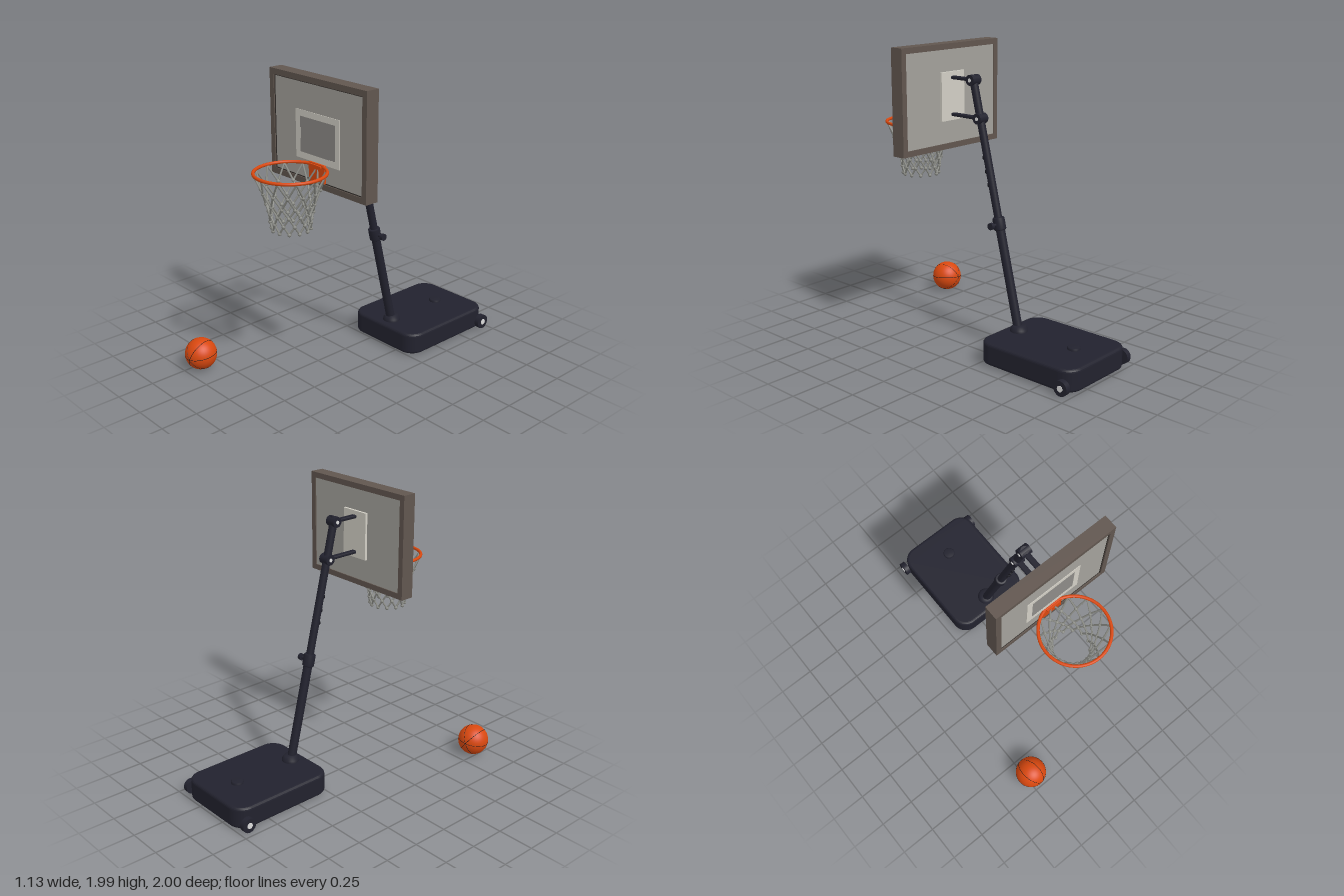
import * as THREE from 'three';
import { RoundedBoxGeometry } from 'three/addons/geometries/RoundedBoxGeometry.js';

const CX = 0.115; // centre line of the stand
const V = (x, y, z) => new THREE.Vector3(x, y, z);

function mat(name, color) {
  const m = new THREE.MeshStandardMaterial({ color });
  m.name = name;
  return m;
}

function roundedRect(w, h, r) {
  const s = new THREE.Shape();
  const x = w / 2, y = h / 2;
  s.absarc(x - r, y - r, r, 0, Math.PI / 2);
  s.absarc(-x + r, y - r, r, Math.PI / 2, Math.PI);
  s.absarc(-x + r, -y + r, r, Math.PI, Math.PI * 1.5);
  s.absarc(x - r, -y + r, r, Math.PI * 1.5, Math.PI * 2);
  return s;
}

// Rectangular border, extruded towards +z
function border(w, h, t, depth) {
  const rect = (C, a, b) => new C([[-a, -b], [a, -b], [a, b], [-a, b]].map(p => new THREE.Vector2(...p)));
  const s = rect(THREE.Shape, w / 2, h / 2);
  s.holes.push(rect(THREE.Path, w / 2 - t, h / 2 - t));
  return new THREE.ExtrudeGeometry(s, { depth, bevelEnabled: false });
}

export function createModel() {
  const root = new THREE.Group();
  root.name = 'basketballSet';
  const navy = mat('navy metal', 0x22222e);
  const black = mat('black', 0x14141a);
  const brown = mat('frame brown', 0x61564f);
  const trimMat = mat('dark trim', 0x332e2b);
  const grey = mat('panel grey', 0xa3a19b);
  const midGrey = mat('target grey', 0x8d8b87);
  const cream = mat('target cream', 0xd2cfc5);
  const orange = mat('orange', 0xd9480f);
  const cord = mat('net cord', 0x8c8d87);
  const silver = mat('silver', 0xdcdcdc);

  const add = (name, geo, m, x = 0, y = 0, z = 0, parent = root) => {
    const mesh = new THREE.Mesh(geo, m);
    mesh.name = name;
    mesh.position.set(x, y, z);
    parent.add(mesh);
    return mesh;
  };
  const rod = (name, a, b, r, m, seg = 24, parent = root) => {
    const d = b.clone().sub(a);
    const mesh = add(name, new THREE.CylinderGeometry(r, r, d.length(), seg), m, 0, 0, 0, parent);
    mesh.position.copy(a).lerp(b, 0.5);
    mesh.quaternion.setFromUnitVectors(V(0, 1, 0), d.normalize());
    return mesh;
  };
  const lathe = pts => new THREE.LatheGeometry(pts.map(p => new THREE.Vector2(...p)), 32);

  // Weighted base
  const baseGeo = new THREE.ExtrudeGeometry(roundedRect(0.56, 0.722, 0.085), {
    depth: 0.11, bevelThickness: 0.02, bevelSize: 0.02, bevelSegments: 4, curveSegments: 10,
  });
  baseGeo.rotateX(-Math.PI / 2);
  add('base', baseGeo, navy, CX, 0.03, -0.619);
  add('fillCap', lathe([[0.042, 0], [0.042, 0.013], [0.036, 0.019], [0, 0.019]]), navy, CX, 0.158, -0.79);
  add('poleSocket', lathe([[0.06, 0], [0.058, 0.018], [0.042, 0.042], [0, 0.042]]), navy, CX, 0.158, -0.34);

  // Wheels on the rear corners
  for (const s of [-1, 1]) {
    const x = CX + s * 0.315;
    rod('wheel', V(x - 0.018, 0.055, -0.943), V(x + 0.018, 0.055, -0.943), 0.05, navy, 32);
    rod('wheelHub', V(CX + s * 0.32, 0.055, -0.943), V(CX + s * 0.337, 0.055, -0.943), 0.02, silver);
  }

  // Leaning pole: z follows height
  const onPole = y => V(CX, y, -0.165 + (y - 0.855) * 0.244);
  rod('lowerPole', onPole(0.16), onPole(0.86), 0.03, navy);
  rod('upperPole', onPole(0.85), onPole(1.8), 0.026, navy);
  const collar = add('collar', lathe([[0, -0.043], [0.034, -0.043], [0.04, -0.036], [0.04, 0.036], [0.034, 0.043], [0, 0.043]]), navy);
  collar.position.copy(onPole(0.855));
  collar.rotation.x = Math.atan(0.244);
  rod('knobStem', V(CX, 0.852, -0.165), V(CX + 0.08, 0.852, -0.165), 0.01, navy);
  rod('knob', V(CX + 0.067, 0.852, -0.165), V(CX + 0.09, 0.852, -0.165), 0.023, navy);
  for (const y of [1.105, 1.19, 1.28]) {
    const p = onPole(y);
    rod('heightHole', p, p.clone().add(V(0, -0.0068, 0.0285)), 0.016, black, 16);
  }

  // Pivots and arms to the backboard
  for (const y of [1.525, 1.768]) {
    const p = onPole(y);
    const side = d => p.clone().add(V(d, 0, 0));
    rod('pivot', side(-0.037), side(0.037), 0.035, navy);
    rod('pivotBolt', side(-0.041), side(0.041), 0.012, silver, 16);
    const len = 0.245 - p.z;
    add('arm', new RoundedBoxGeometry(0.038, 0.022, len, 3, 0.008), navy, CX, y, p.z + len / 2);
  }

  // Backboard
  const by = 1.643;
  add('backboardFrame', border(0.887, 0.693, 0.038, 0.095), brown, CX, by, 0.25);
  add('backboardPanel', new THREE.BoxGeometry(0.815, 0.621, 0.078), grey, CX, by, 0.296);
  add('frameTrim', border(0.811, 0.617, 0.006, 0.004), trimMat, CX, by, 0.334);
  add('targetBorder', border(0.405, 0.312, 0.041, 0.004), cream, CX, 1.613, 0.334);
  add('targetCentre', new THREE.BoxGeometry(0.325, 0.232, 0.003), midGrey, CX, 1.613, 0.335);
  add('mountPlate', new THREE.BoxGeometry(0.21, 0.32, 0.02), cream, CX, 1.647, 0.25);

  // Rim and bracket
  const hz = 0.557, rimY = 1.443;
  add('rimBracket', new RoundedBoxGeometry(0.15, 0.122, 0.016, 2, 0.005), orange, CX, 1.396, 0.34);
  add('rimArm', new THREE.BoxGeometry(0.1, 0.012, 0.03), orange, CX, rimY, 0.345);
  const rim = add('rim', new THREE.TorusGeometry(0.225, 0.0105, 12, 64), orange, CX, rimY, hz);
  rim.rotation.x = Math.PI / 2;

  // Net: staggered rows of knots joined by diagonal cords
  const net = new THREE.Group();
  net.name = 'net';
  root.add(net);
  const rows = [[0.223, 1.437], [0.182, 1.335], [0.154, 1.255], [0.139, 1.195], [0.13, 1.138], [0.122, 1.085]];
  const N = 12;
  const node = (r, i) => {
    const a = ((i + (r % 2) / 2) / N) * Math.PI * 2;
    return V(CX + Math.cos(a) * rows[r][0], rows[r][1], hz + Math.sin(a) * rows[r][0]);
  };
  const knotGeo = new THREE.SphereGeometry(0.0125, 10, 8);
  for (let r = 0; r < rows.length; r++) {
    for (let i = 0; i < N; i++) {
      const p = node(r, i);
      if (r > 0) add('netKnot', knotGeo, cord, p.x, p.y, p.z, net);
      if (r === rows.length - 1) continue;
      const k = r % 2 ? 1 : -1;
      rod('netCord', p, node(r + 1, i), 0.0062, cord, 6, net);
      rod('netCord', p, node(r + 1, i + k), 0.0062, cord, 6, net);
    }
  }

  // Ball with seams meeting at a pole near the front
  const ball = new THREE.Group();
  ball.name = 'ball';
  ball.position.set(-0.46, 0.107, 0.888);
  ball.rotation.set(0.08, 0.17, 0.1);
  root.add(ball);
  add('ballSkin', new THREE.SphereGeometry(0.107, 40, 28), orange, 0, 0, 0, ball);
  for (let i = 0; i < 3; i++) {
    const seam = add('ballSeam', new THREE.TorusGeometry(0.1062, 0.0018, 6, 64), black, 0, 0, 0, ball);
    seam.rotation.set(Math.PI / 2, 0, 0);
    seam.quaternion.premultiply(new THREE.Quaternion().setFromAxisAngle(V(0, 0, 1), (i * Math.PI) / 3));
  }
  return root;
}
